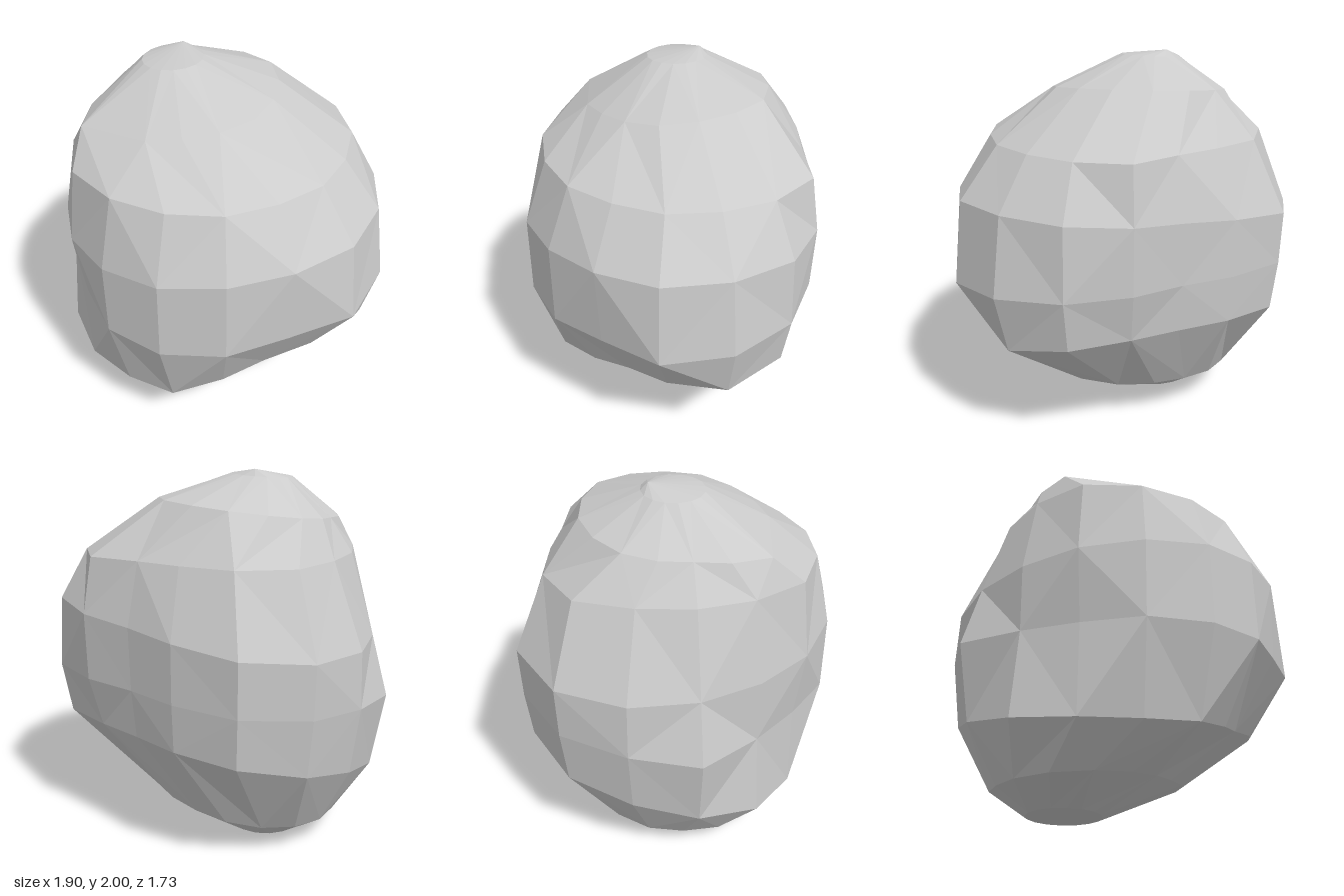
import * as THREE from 'three';

const SIDES = 16;

// Cross-sections from bottom to top: centre (x, z), height y at x = z = 0,
// tilt along x and z, and radius r: one value for a round section,
// or values in equal steps from +x towards +z.
const sections = [
  // flat foot
  { x: -0.3, z: -0.08, y: 0.01, r: 0.2 },
  // sloping underside
  { x: -0.2, z: -0.05, y: 0.18, tiltX: 0.1, tiltZ: -0.06,
    r: [0.57, 0.52, 0.46, 0.46, 0.49, 0.52, 0.54, 0.52, 0.49, 0.49, 0.49, 0.49, 0.48, 0.47, 0.49, 0.54] },
  // lower ridge, high at the back
  { y: 0.49, tiltX: 0.11, tiltZ: -0.22,
    r: [0.87, 0.71, 0.61, 0.64, 0.73, 0.74, 0.8, 0.86, 0.88, 0.88, 0.92, 0.89, 0.76, 0.67, 0.71, 0.84] },
  // belly
  { y: 0.85, tiltX: 0.05, tiltZ: -0.08,
    r: [0.95, 0.95, 0.84, 0.86, 0.87, 0.85, 0.79, 0.82, 0.95, 0.93, 0.96, 0.92, 0.78, 0.7, 0.78, 0.89] },
  // shoulder
  { y: 1.22, tiltX: 0.1,
    r: [0.89, 0.9, 0.86, 0.85, 0.86, 0.85, 0.84, 0.83, 0.86, 0.92, 0.97, 0.93, 0.78, 0.71, 0.79, 0.87] },
  // upper slope
  { y: 1.57,
    r: [0.69, 0.69, 0.68, 0.71, 0.73, 0.76, 0.79, 0.75, 0.73, 0.74, 0.8, 0.75, 0.65, 0.63, 0.74, 0.72] },
  // crown
  { x: -0.2, y: 1.81, tiltX: 0.1, tiltZ: -0.06,
    r: [0.5, 0.5, 0.47, 0.45, 0.46, 0.46, 0.54, 0.46, 0.41, 0.43, 0.46, 0.48, 0.5, 0.51, 0.53, 0.51] },
  // peak
  { x: -0.25, z: -0.04, y: 1.98, tiltX: 0.06, r: 0.16 },
];

function rockGeometry() {
  const positions = [];
  const index = [];

  // Rings of corners
  for (const { x = 0, z = 0, y, tiltX = 0, tiltZ = 0, r } of sections) {
    for (let j = 0; j < SIDES; j++) {
      const angle = (j / SIDES) * Math.PI * 2;
      const radius = Array.isArray(r) ? r[j] : r;
      const px = x + radius * Math.cos(angle);
      const pz = z + radius * Math.sin(angle);
      positions.push(px, y + tiltX * px + tiltZ * pz, pz);
    }
  }

  // Facets between rings, with alternating diagonals for a chipped look
  for (let i = 0; i < sections.length - 1; i++) {
    for (let j = 0; j < SIDES; j++) {
      const k = (j + 1) % SIDES;
      const a = i * SIDES + j, b = i * SIDES + k;
      const c = a + SIDES, d = b + SIDES;
      if ((i + j) % 2) index.push(a, c, b, b, c, d);
      else index.push(a, d, b, a, c, d);
    }
  }

  // Bottom and top caps
  const bottom = positions.length / 3;
  positions.push(-0.3, 0, -0.08, -0.24, 2, -0.16);
  const last = (sections.length - 1) * SIDES;
  for (let j = 0; j < SIDES; j++) {
    const k = (j + 1) % SIDES;
    index.push(bottom, j, k, bottom + 1, last + k, last + j);
  }

  const geometry = new THREE.BufferGeometry();
  geometry.setAttribute('position', new THREE.Float32BufferAttribute(positions, 3));
  geometry.setIndex(index);
  const faceted = geometry.toNonIndexed();
  faceted.computeVertexNormals();
  return faceted;
}

export function createModel() {
  const group = new THREE.Group();
  group.name = 'boulder';
  const material = new THREE.MeshStandardMaterial({ color: 0xcccccc, flatShading: true });
  const rock = new THREE.Mesh(rockGeometry(), material);
  rock.name = 'rock';
  group.add(rock);
  return group;
}
